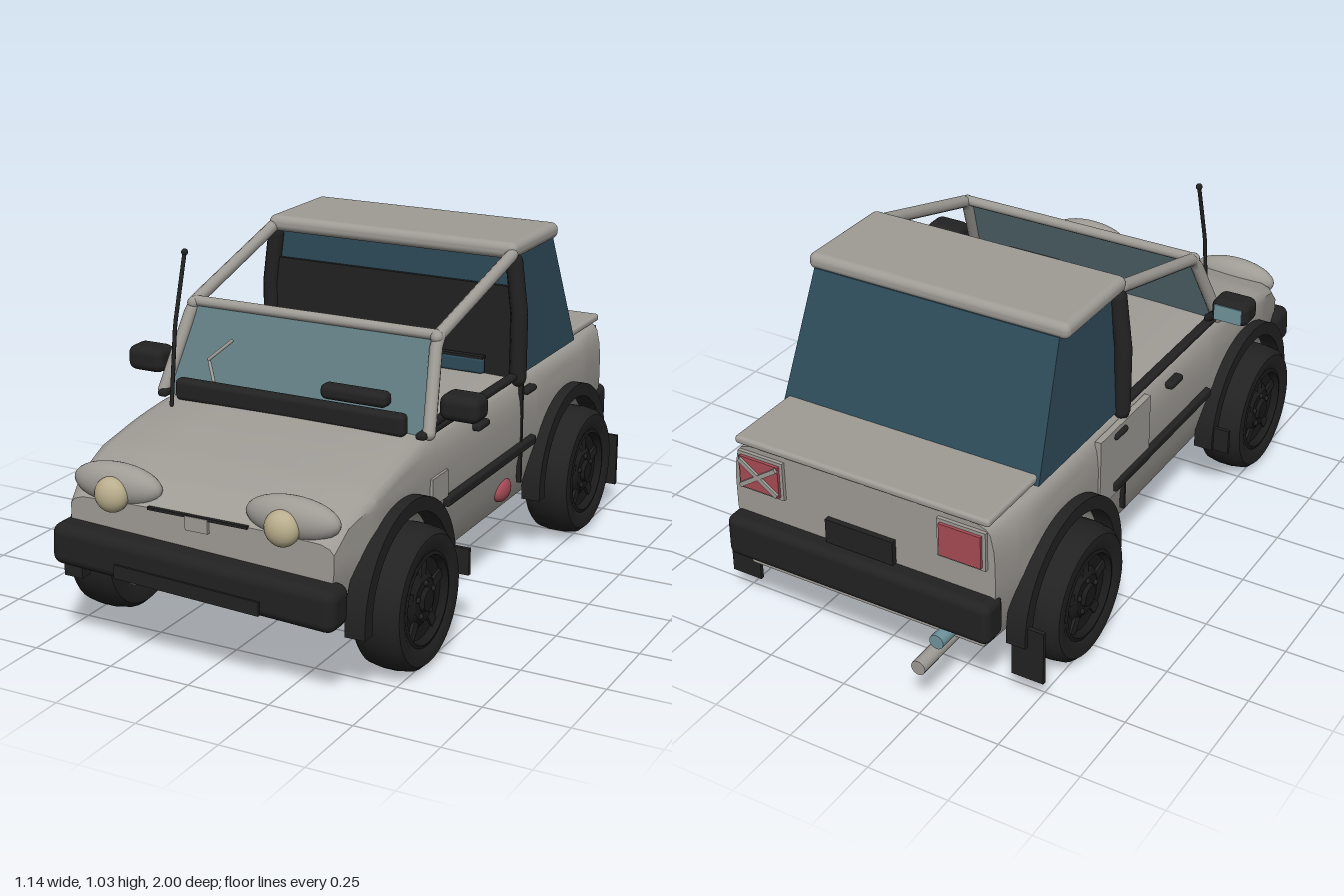
import * as THREE from 'three';
import { toCreasedNormals } from 'three/addons/utils/BufferGeometryUtils.js';
import { RoundedBoxGeometry } from 'three/addons/geometries/RoundedBoxGeometry.js';

const mat = (name, color, side = THREE.FrontSide) =>
  Object.assign(new THREE.MeshStandardMaterial({ color, side }), { name });

const WHEELS = [0.61, -0.54], AXLE_Y = 0.208, ARCH = 0.237;

// linear interpolation through [key, value] pairs
function ramp(pairs, k) {
  for (let i = 1; i < pairs.length; i++) {
    const [a, va] = pairs[i - 1], [b, vb] = pairs[i];
    if (k <= b) return va + (vb - va) * Math.max(0, (k - a) / (b - a));
  }
  return pairs[pairs.length - 1][1];
}
const topY = z => ramp([[0.45, 0.6], [0.6, 0.578], [0.75, 0.548], [0.87, 0.51], [0.93, 0.455]], z);
const halfW = (y, z) =>
  ramp([[0.2, 0.4], [0.26, 0.42], [0.38, 0.44], [0.5, 0.44], [0.56, 0.432], [0.61, 0.41]], y) *
  ramp([[-0.88, 0.96], [-0.7, 1], [0.75, 1], [0.93, 0.93]], z);
function bottomY(z) {
  for (const c of WHEELS) {
    const d = ARCH * ARCH - (z - c) ** 2;
    if (d > 0) return AXLE_Y + Math.sqrt(d);
  }
  return ramp([[0.85, 0.205], [0.93, 0.25]], z);
}

// body lofted along z, with the wheel arches cut through the lower edge
function bodyGeometry() {
  const zs = [-0.88, -0.83, -0.2, 0, 0.2, 0.87, 0.905, 0.93];
  for (const c of WHEELS) for (let i = 0; i <= 20; i++) zs.push(c - ARCH * Math.cos(Math.PI * i / 20));
  zs.sort((a, b) => a - b);
  const rings = zs.map(z => {
    const yb = bottomY(z), yt = topY(z), half = [];
    for (let i = 0; i <= 8; i++) {
      const y = yb + (yt - 0.025 - yb) * i / 8;
      half.push([halfW(y, z), y]);
    }
    const w = half[8][0];
    half.push([w - 0.012, yt - 0.01], [w - 0.04, yt], [w * 0.5, yt + 0.006]);
    return [[0, yb], ...half, [0, yt + 0.008], ...half.reverse().map(([x, y]) => [-x, y])]
      .map(([x, y]) => [x, y, z]);
  });
  const pos = [], n = rings[0].length;
  const tri = (...p) => p.forEach(v => pos.push(...v));
  for (let i = 0; i + 1 < rings.length; i++) for (let j = 0; j < n; j++) {
    const k = (j + 1) % n, a = rings[i][j], b = rings[i][k], c = rings[i + 1][k], d = rings[i + 1][j];
    tri(a, b, c); tri(a, c, d);
  }
  const back = rings[0], front = rings[rings.length - 1];
  for (let j = 0; j < n; j++) {
    const k = (j + 1) % n;
    tri([0, 0.4, -0.88], back[k], back[j]);
    tri([0, 0.36, 0.93], front[j], front[k]);
  }
  const g = new THREE.BufferGeometry();
  g.setAttribute('position', new THREE.Float32BufferAttribute(pos, 3));
  return toCreasedNormals(g, 0.6);
}

export function createModel() {
  const M = {
    paint: mat('body grey', 0x9f9c96), black: mat('trim black', 0x222222), rim: mat('rim black', 0x1a1a1a),
    glass: mat('windshield teal', 0x617c82, THREE.DoubleSide), blue: mat('canopy blue', 0x2e4b5a),
    red: mat('lamp red', 0xa84c56), cream: mat('headlight cream', 0xb9ae8c), teal: mat('metal teal', 0x6f949c),
  };
  const car = new THREE.Group();
  car.name = 'pickup';
  const add = (name, geo, m, x = 0, y = 0, z = 0, parent = car) => {
    const mesh = new THREE.Mesh(geo, m);
    mesh.name = name;
    mesh.position.set(x, y, z);
    parent.add(mesh);
    return mesh;
  };
  const box = (name, m, w, h, d, x, y, z, r = 0) =>
    add(name, r ? new RoundedBoxGeometry(w, h, d, 3, r) : new THREE.BoxGeometry(w, h, d), m, x, y, z);
  const tube = (name, m, r, ...pts) => {
    const path = new THREE.CurvePath();
    const v = pts.map(p => new THREE.Vector3(...p));
    for (let i = 1; i < v.length; i++) path.add(new THREE.LineCurve3(v[i - 1], v[i]));
    add(name, new THREE.TubeGeometry(path, 16, r, 10), m);
    for (const p of v) add(name + 'Joint', new THREE.SphereGeometry(r, 10, 8), m, p.x, p.y, p.z);
  };
  const ball = (name, m, rx, ry, rz, x, y, z) =>
    add(name, new THREE.SphereGeometry(1, 28, 18).scale(rx, ry, rz), m, x, y, z);

  add('body', bodyGeometry(), M.paint);

  // front end
  const bumper = new THREE.Group();
  bumper.name = 'frontBumper';
  bumper.position.set(0, 0.31, 0.945);
  bumper.rotation.z = -0.04;
  car.add(bumper);
  add('bumperBar', new RoundedBoxGeometry(0.88, 0.12, 0.1, 3, 0.03), M.black, 0, 0, 0, bumper);
  add('bumperPlate', new THREE.BoxGeometry(0.45, 0.04, 0.012), M.black, 0, -0.03, 0.05, bumper);
  box('grilleSlot', M.black, 0.31, 0.008, 0.012, 0, 0.462, 0.932);
  box('hoodLatch', M.paint, 0.07, 0.04, 0.012, 0, 0.443, 0.934);
  for (const s of [1, -1]) {
    ball('headlightPod', M.paint, 0.14, 0.06, 0.048, s * 0.272, 0.5, 0.898);
    ball('headlight', M.cream, 0.05, 0.05, 0.038, s * 0.264, 0.484, 0.943);
  }

  // cowl, dash hood, wiper and antenna
  box('cowl', M.black, 0.74, 0.065, 0.04, 0, 0.63, 0.445, 0.015);
  box('dashHood', M.black, 0.21, 0.045, 0.05, 0.195, 0.683, 0.41, 0.018);
  tube('wiper', M.paint, 0.005, [-0.26, 0.66, 0.425], [-0.29, 0.715, 0.4], [-0.23, 0.77, 0.37]);
  tube('antenna', M.black, 0.006, [-0.35, 0.6, 0.51], [-0.35, 0.83, 0.48], [-0.35, 1.03, 0.42]);
  ball('antennaTip', M.black, 0.01, 0.01, 0.01, -0.35, 1.03, 0.42);

  // windshield and its frame
  const pane = new THREE.PlaneGeometry(2, 1);
  const pp = pane.attributes.position;
  for (let i = 0; i < pp.count; i++) {
    const t = pp.getY(i) + 0.5;
    pp.setXYZ(i, pp.getX(i) * (0.42 - 0.035 * t), 0.6 + 0.25 * t, 0.425 - 0.115 * t);
  }
  pane.computeVertexNormals();
  add('windshield', pane, M.glass);
  tube('headerBar', M.paint, 0.016, [-0.39, 0.855, 0.305], [0.39, 0.855, 0.305]);

  for (const s of [1, -1]) {
    tube('pillarAndRoofRail', M.paint, 0.019, [s * 0.43, 0.61, 0.425], [s * 0.395, 0.85, 0.31], [s * 0.405, 0.98, -0.17]);
    tube('rollBar', M.black, 0.026, [s * 0.425, 0.6, -0.19], [s * 0.425, 0.8, -0.19], [s * 0.405, 0.955, -0.19]);
    // mirrors
    box('mirror', M.black, 0.12, 0.075, 0.09, s * 0.508, 0.685, 0.37, 0.025);
    box('mirrorGlass', M.teal, 0.09, 0.05, 0.004, s * 0.508, 0.685, 0.324);
    tube('mirrorArm', M.black, 0.013, [s * 0.42, 0.625, 0.38], [s * 0.47, 0.67, 0.37]);
    // side trim
    box('beltTrim', M.black, 0.03, 0.02, 0.66, s * 0.418, 0.608, 0.13, 0.008);
    box('rubStrip', M.black, 0.025, 0.03, 0.62, s * 0.446, 0.388, 0.04, 0.008);
    box('doorSeam', M.black, 0.014, 0.33, 0.01, s * 0.437, 0.435, -0.19);
    box('doorHandle', M.black, 0.03, 0.022, 0.075, s * 0.442, 0.545, 0.11, 0.009);
    box('rearHandle', M.black, 0.03, 0.02, 0.07, s * 0.442, 0.555, -0.235, 0.009);
    // headrests against the cab wall
    const rest = box('seatTop', M.blue, 0.24, 0.05, 0.02, s * 0.205, 0.63, -0.165, 0.009);
    rest.scale.z = 1.2;
    box('seatTrim', M.black, 0.24, 0.008, 0.02, s * 0.205, 0.657, -0.163);
  }
  box('fenderBadge', M.paint, 0.012, 0.08, 0.1, 0.442, 0.442, 0.385);
  ball('sideLamp', M.red, 0.022, 0.036, 0.052, 0.42, 0.272, -0.1);
  box('fuelHatch', M.paint, 0.02, 0.22, 0.3, -0.437, 0.47, -0.2);

  // cab wall, canopy and roof
  box('cabWall', M.black, 0.8, 0.28, 0.012, 0, 0.74, -0.188);
  const canopy = new THREE.BoxGeometry(2, 1, 1).toNonIndexed();
  const cp = canopy.attributes.position;
  for (let i = 0; i < cp.count; i++) {
    const t = cp.getY(i) + 0.5;
    const z = cp.getZ(i) > 0 ? -0.195 : -0.65 + 0.15 * t;
    cp.setXYZ(i, cp.getX(i) * (0.42 - 0.025 * t), 0.6 + 0.375 * t, z);
  }
  canopy.computeVertexNormals();
  add('canopy', canopy, M.blue);
  box('roof', M.paint, 0.84, 0.05, 0.34, 0, 0.99, -0.33, 0.022);
  box('rearDeck', M.paint, 0.82, 0.024, 0.26, 0, 0.615, -0.76, 0.01);

  // tail
  box('rearBumper', M.black, 0.86, 0.13, 0.09, 0, 0.315, -0.89, 0.025);
  box('plateHolder', M.black, 0.22, 0.075, 0.02, 0, 0.42, -0.887);
  for (const s of [1, -1]) {
    box('tailLampFrame', M.paint, 0.15, 0.12, 0.016, s * 0.325, 0.525, -0.883);
    box('tailLamp', M.red, 0.13, 0.1, 0.03, s * 0.325, 0.525, -0.885);
    box('lampGuardBar', M.paint, 0.15, 0.013, 0.01, 0.325, 0.525, -0.903).rotation.z = s * 0.6;
  }
  const pipe = (name, m, r, len, x, y, z) =>
    add(name, new THREE.CylinderGeometry(r, r, len, 20).rotateX(Math.PI / 2), m, x, y, z);
  pipe('exhaust', M.paint, 0.022, 0.185, -0.25, 0.161, -0.907);
  pipe('exhaustHanger', M.teal, 0.022, 0.11, -0.285, 0.235, -0.905);

  // fender flare outline: half ring with short legs
  const flare = new THREE.Shape();
  flare.moveTo(0.276, -0.02);
  flare.lineTo(0.276, 0);
  flare.absarc(0, 0, 0.276, 0, Math.PI, false);
  flare.lineTo(-0.276, -0.02);
  flare.lineTo(-0.235, -0.02);
  flare.absarc(0, 0, 0.235, Math.PI, 0, true);
  flare.lineTo(0.235, -0.02);
  const flareGeo = toCreasedNormals(new THREE.ExtrudeGeometry(flare,
    { depth: 0.06, bevelEnabled: false, curveSegments: 28 }).rotateY(-Math.PI / 2).translate(0.03, 0, 0), 0.6);

  // wheel profiles, outer side along +x
  const lathe = pts => toCreasedNormals(new THREE.LatheGeometry(
    pts.map(p => new THREE.Vector2(...p)), 40).rotateZ(-Math.PI / 2), 0.6);
  const tyreGeo = lathe([[0.125, -0.06], [0.155, -0.072], [0.183, -0.07], [0.197, -0.055], [0.203, -0.02],
    [0.203, 0.02], [0.197, 0.055], [0.183, 0.07], [0.155, 0.072], [0.132, 0.062]]);
  const rimGeo = lathe([[0.135, 0.063], [0.125, 0.066], [0.115, 0.045], [0.08, 0.042], [0.06, 0.056], [0.035, 0.056], [0.03, 0.068], [0, 0.068]]);
  for (const s of [1, -1]) for (const z of WHEELS) {
    const wheel = new THREE.Group();
    wheel.name = z > 0 ? 'frontWheel' : 'rearWheel';
    wheel.position.set(s * 0.457, AXLE_Y, z);
    wheel.rotation.y = s > 0 ? 0 : Math.PI;
    car.add(wheel);
    add('tyre', tyreGeo, M.black, 0, 0, 0, wheel);
    add('rim', rimGeo, M.rim, 0, 0, 0, wheel);
    add('brakeDisc', new THREE.CylinderGeometry(0.135, 0.135, 0.02, 32).rotateZ(Math.PI / 2), M.teal, -0.052, 0, 0, wheel);
    add('caliper', new THREE.BoxGeometry(0.03, 0.06, 0.05), M.red, -0.068, 0.07, 0.1, wheel);
    for (let i = 0; i < 5; i++) {
      const a = i * Math.PI * 0.4;
      add('wheelNut', new THREE.SphereGeometry(0.009, 8, 6), M.black, 0.056, 0.048 * Math.cos(a), 0.048 * Math.sin(a), wheel);
      add('rimSpoke', new THREE.BoxGeometry(0.012, 0.05, 0.03).translate(0, 0.092, 0), M.black, 0.045, 0, 0, wheel).rotation.x = a;
    }
    add('fenderFlare', flareGeo, M.black, s * 0.445, AXLE_Y, z);
    // mud flap behind each wheel
    box('mudFlap', M.black, 0.1, z > 0 ? 0.08 : 0.17, 0.012, s * 0.475, z > 0 ? 0.225 : 0.165, z - 0.258);
  }
  return car;
}
